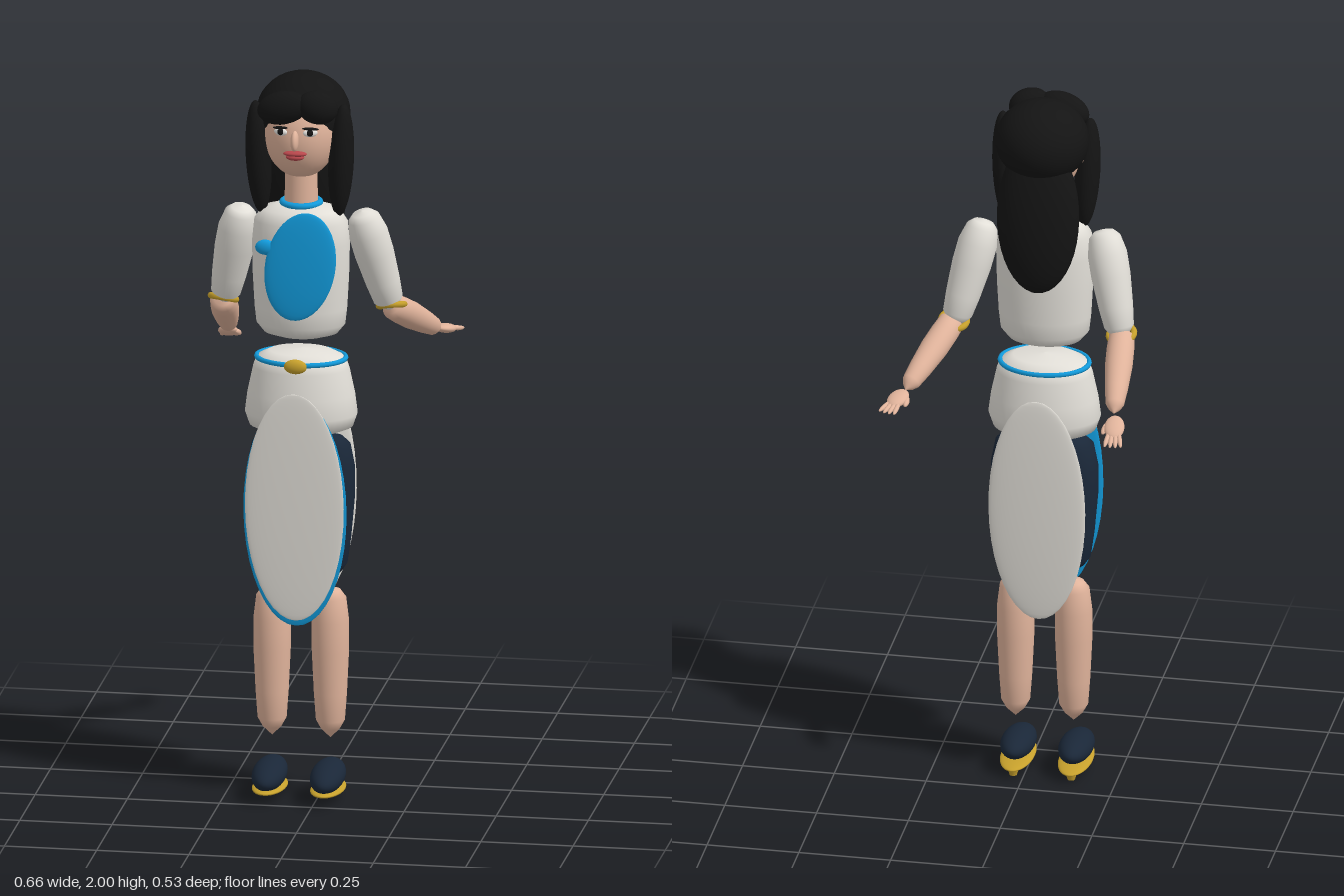
import * as THREE from 'three';

const mat = (name, color, side = THREE.FrontSide) => {
  const m = new THREE.MeshStandardMaterial({ color, side });
  m.name = name;
  return m;
};
const CX = -0.05, CZ = 0.12; // body axis

export function createModel() {
  const white = mat('whiteCloth', 0xe2dfd8), blue = mat('blueTrim', 0x129bdc);
  const navy = mat('navyCloth', 0x1a2738), skin = mat('skin', 0xe0b39b);
  const hair = mat('blackHair', 0x141414), gold = mat('gold', 0xc6a02c);
  const red = mat('lipRed', 0xb8474c), eyeWhite = mat('eyeWhite', 0xf6f3ee);

  const model = new THREE.Group();
  model.name = 'figure';
  const add = (name, geometry, material, pos = [0, 0, 0], rot = [0, 0, 0]) => {
    const mesh = new THREE.Mesh(geometry, material);
    mesh.name = name;
    mesh.position.set(...pos);
    mesh.rotation.set(...rot);
    model.add(mesh);
    return mesh;
  };
  const ball = (name, material, pos, radii, rot) =>
    add(name, new THREE.SphereGeometry(1, 32, 20).scale(...radii), material, pos, rot);
  const lathe = pts => new THREE.LatheGeometry(pts.map(p => new THREE.Vector2(...p)), 40);

  // Tapered limb with a domed start and a pointed end
  const aim = (mesh, a, b) => mesh.quaternion.setFromUnitVectors(
    new THREE.Vector3(0, 1, 0), new THREE.Vector3(...b).sub(new THREE.Vector3(...a)).normalize());
  const limb = (name, material, a, b, r0, r1, rMid = r0) => {
    const len = new THREE.Vector3(...a).distanceTo(new THREE.Vector3(...b));
    const profile = [[0, 0], [r0 * 0.55, 0.02], [r0 * 0.85, 0.07], [rMid, 0.22], [rMid, 0.42],
      [(rMid + r1) / 2, 0.7], [r1, 0.88], [r1 * 0.65, 0.94], [0, 1]];
    const mesh = add(name, lathe(profile.map(([r, t]) => [r, t * len])), material, a);
    aim(mesh, a, b);
    return mesh;
  };

  // Head, neck and face
  ball('head', skin, [CX, 1.845, 0.125], [0.1, 0.125, 0.1]);
  add('neck', new THREE.CylinderGeometry(0.042, 0.046, 0.14, 28), skin, [CX, 1.69, CZ]);
  add('collar', new THREE.TorusGeometry(0.05, 0.009, 10, 36), blue, [CX, 1.648, CZ], [Math.PI / 2, 0, 0]);
  ball('nose', skin, [CX, 1.847, 0.23], [0.011, 0.028, 0.019], [-0.25, 0, 0]);
  ball('upperLip', red, [CX, 1.81, 0.222], [0.032, 0.008, 0.014]);
  ball('lowerLip', red, [CX, 1.8, 0.221], [0.025, 0.009, 0.014]);
  for (const s of [-1, 1]) {
    ball('eye', eyeWhite, [CX + s * 0.04, 1.867, 0.213], [0.02, 0.011, 0.008], [0, s * 0.35, 0]);
    ball('iris', hair, [CX + s * 0.04, 1.868, 0.219], [0.009, 0.009, 0.005], [0, s * 0.35, 0]);
    ball('upperLash', hair, [CX + s * 0.041, 1.879, 0.216], [0.023, 0.004, 0.006], [0, s * 0.35, -s * 0.1]);
    ball('ear', skin, [CX + s * 0.098, 1.845, 0.11], [0.014, 0.03, 0.02]);
  }

  // Hair
  ball('hairCap', hair, [CX, 1.888, 0.085], [0.126, 0.112, 0.124]);
  ball('backHair', hair, [CX, 1.69, 0.026], [0.112, 0.222, 0.06], [0.06, 0, 0]);
  ball('fringeRight', hair, [-0.087, 1.93, 0.2], [0.072, 0.045, 0.04], [0, -0.15, 0.25]);
  ball('fringeLeft', hair, [0.007, 1.935, 0.2], [0.056, 0.045, 0.038], [0, 0.25, -0.3]);
  for (const s of [-1, 1])
    ball('sideLock', hair, [CX + s * 0.112, 1.775, 0.143], [0.034, 0.158, 0.04], [0.04, 0, -s * 0.05]);

  // Torso and hips: oval lathes
  const oval = (name, pts, depth, z) => {
    const mesh = add(name, lathe(pts), white, [CX, 0, z]);
    mesh.geometry.scale(1, 1, depth);
  };
  oval('torso', [[0, 1.275], [0.06, 1.278], [0.1, 1.29], [0.12, 1.315], [0.125, 1.36], [0.13, 1.45],
    [0.132, 1.54], [0.126, 1.6], [0.105, 1.632], [0.06, 1.645], [0, 1.648]], 0.71, 0.125);
  oval('hips', [[0, 1.01], [0.1, 1.014], [0.14, 1.03], [0.152, 1.065], [0.145, 1.12], [0.13, 1.19],
    [0.12, 1.218], [0.085, 1.235], [0, 1.242]], 0.74, CZ);
  const belt = add('belt', new THREE.TorusGeometry(0.12, 0.007, 8, 48), blue, [CX, 1.217, CZ], [Math.PI / 2, 0, 0]);
  belt.scale.set(1, 0.76, 1);
  ball('buckle', gold, [CX, 1.215, 0.217], [0.031, 0.02, 0.014]);

  // Chest ornament
  ball('chestPlate', blue, [-0.035, 1.497, 0.228], [0.095, 0.152, 0.013], [0, 0, -0.18]);
  ball('chestPlateTab', blue, [-0.13, 1.546, 0.222], [0.028, 0.021, 0.012]);

  // Hanging skirt panels
  ball('frontPanel', white, [CX, 0.828, 0.233], [0.134, 0.32, 0.008], [0.05, 0, 0]);
  ball('frontPanelTrim', blue, [CX, 0.815, 0.223], [0.14, 0.324, 0.009], [0.05, 0, 0]);
  ball('backPanel', white, [CX, 0.825, 0.009], [0.132, 0.33, 0.013], [-0.05, 0, 0]);

  // Legs and shoes
  for (const s of [-1, 1]) {
    const x = CX + s * 0.079;
    limb('thigh', navy, [x, 1.005, CZ], [x, 0.6, CZ], 0.064, 0.046, 0.066);
    limb('lowerLeg', skin, [x, 0.58, CZ], [x, 0.16, CZ], 0.05, 0.039);
    ball('shoe', navy, [x, 0.065, 0.16], [0.046, 0.037, 0.104], [0.08, 0, 0]);
    ball('sole', gold, [x, 0.029, 0.156], [0.046, 0.012, 0.106], [-0.03, 0, 0]);
    add('heel', new THREE.CylinderGeometry(0.018, 0.01, 0.028, 16), gold, [x, 0.014, 0.085]);
  }

  // Arms: shoulder, elbow, wrist, palm centre and fingertip centre
  const arms = [
    { side: -1, pts: [[-0.212, 1.627, 0.11], [-0.273, 1.335, 0.045], [-0.292, 1.212, -0.158],
      [-0.3, 1.188, -0.192], [-0.307, 1.158, -0.257]] },
    { side: 1, pts: [[0.112, 1.627, 0.11], [0.183, 1.335, 0.045], [0.276, 1.23, -0.158],
      [0.289, 1.222, -0.195], [0.309, 1.207, -0.264]] },
  ];
  for (const { side, pts: [shoulder, elbow, wrist, palm, tip] } of arms) {
    limb('upperArm', white, shoulder, elbow, 0.05, 0.04, 0.053);
    const start = [elbow[0], elbow[1] + 0.018, elbow[2] + 0.015];
    limb('forearm', skin, start, wrist, 0.041, 0.025, 0.037);
    const cuff = add('bracelet', new THREE.TorusGeometry(0.034, 0.009, 10, 32), gold,
      [elbow[0], elbow[1] + 0.015, elbow[2] + 0.003]);
    cuff.rotation.set(Math.PI / 2 - 0.3, side * 0.12, 0);

    // Hand built along the wrist-to-fingertip line
    const hand = new THREE.Group();
    hand.name = 'hand';
    hand.position.set(...palm);
    hand.lookAt(new THREE.Vector3(...tip));
    const part = (name, p, r, yaw = 0) => {
      const mesh = ball(name, skin, p, r, [0, yaw, 0]);
      hand.add(mesh);
    };
    part('palm', [0, 0, 0], [0.027, 0.013, 0.04]);
    for (let i = 0; i < 4; i++) {
      const k = i - 1.5;
      part('finger', [k * 0.0115, 0, 0.046 - Math.abs(k) * 0.002], [0.0065, 0.0065, 0.027], k * 0.12);
    }
    part('thumb', [side * 0.026, -0.004, 0.002], [0.008, 0.008, 0.021], side * 0.25);
    model.add(hand);
  }
  return model;
}
